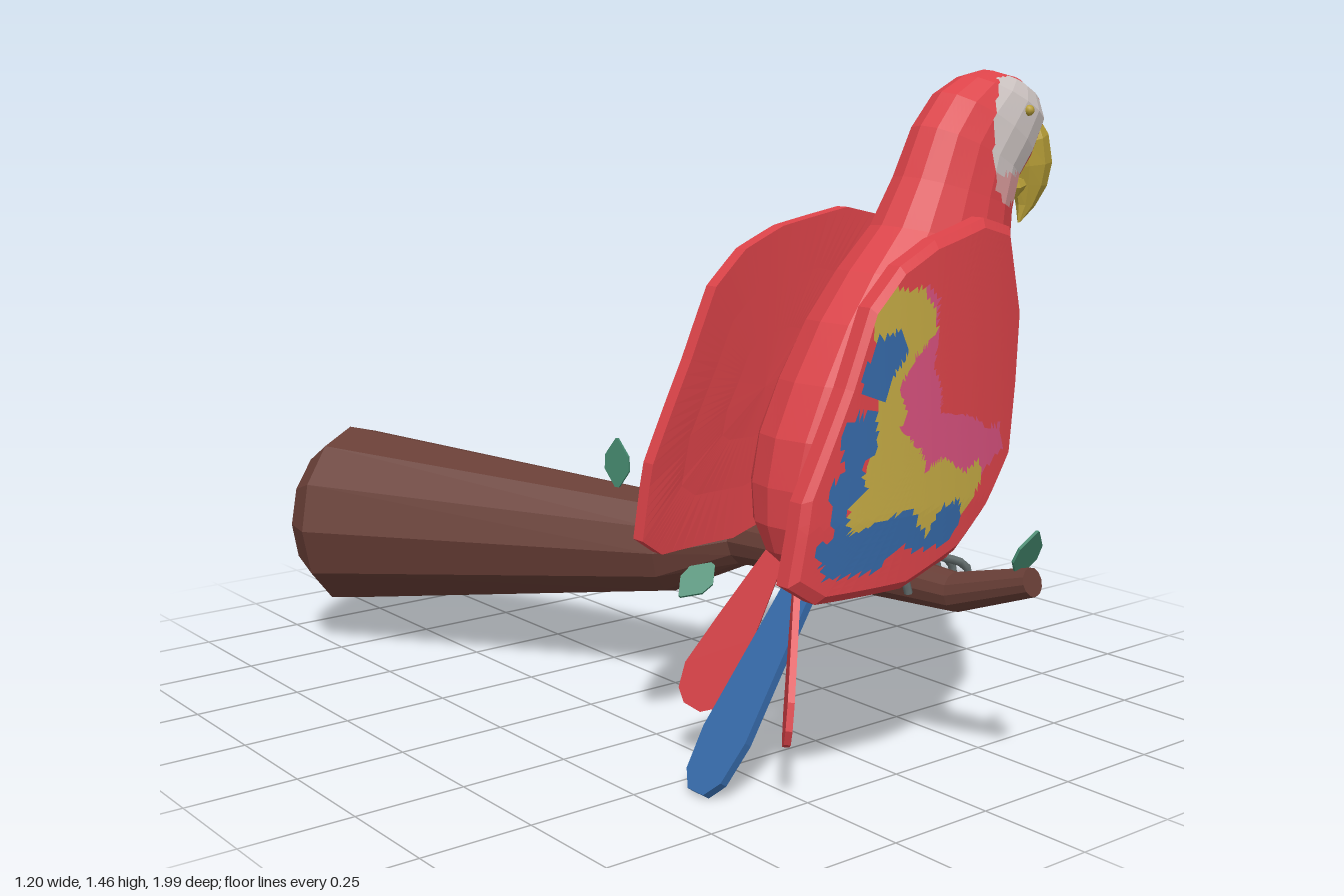
import * as THREE from 'three';

const V = (x, y, z) => new THREE.Vector3(x, y, z);
const mat = (name, color) => {
  const m = new THREE.MeshStandardMaterial({ color });
  m.name = name;
  return m;
};
const ZC = 0.585; // centre plane of the bird

// True when (x, y) lies inside a flat list of polygon corners
function inside(poly, x, y) {
  let hit = false;
  for (let i = 0, j = poly.length - 2; i < poly.length; j = i, i += 2) {
    const [ax, ay, bx, by] = [poly[i], poly[i + 1], poly[j], poly[j + 1]];
    if ((ay > y) !== (by > y) && x < ((bx - ax) * (y - ay)) / (by - ay) + ax) hit = !hit;
  }
  return hit;
}

// Faceted surface closed around u; pick(centre, row) chooses a material index per face
function surface(name, nu, nv, P, mats, flip = false, pick = () => 0) {
  const buckets = mats.map(() => []);
  const add = (a, b, c, row) => {
    const mid = a.clone().add(b).add(c).divideScalar(3);
    const out = buckets[pick(mid, row)];
    for (const p of flip ? [a, c, b] : [a, b, c]) out.push(p.x, p.y, p.z);
  };
  for (let j = 0; j < nv; j++) for (let i = 0; i < nu; i++) {
    const k = (i + 1) % nu;
    const a = P(i, j), b = P(k, j), c = P(k, j + 1), d = P(i, j + 1);
    if (a.distanceTo(b) > 1e-6) add(a, b, d, j);
    if (c.distanceTo(d) > 1e-6) add(b, c, d, j);
  }
  const g = new THREE.BufferGeometry();
  g.setAttribute('position', new THREE.Float32BufferAttribute(buckets.flat(), 3));
  let start = 0;
  buckets.forEach((b, i) => { g.addGroup(start, b.length / 3, i); start += b.length / 3; });
  g.computeVertexNormals();
  const mesh = new THREE.Mesh(g, mats.length > 1 ? mats : mats[0]);
  mesh.name = name;
  return mesh;
}

// Oval loft; each ring is [backX, backY, frontX, frontY, halfWidth]
function loft(name, rings, sides, sub, mats, pick) {
  const pole = ([a, b, c, d]) => [(a + c) / 2, (b + d) / 2, (a + c) / 2, (b + d) / 2, 0];
  const all = [pole(rings[0]), ...rings, pole(rings[rings.length - 1])];
  const corner = (i, j) => {
    const [bx, by, fx, fy, w] = all[j], t = (i / sides) * Math.PI * 2, c = Math.cos(t) / 2;
    return V((bx + fx) / 2 + (fx - bx) * c, (by + fy) / 2 + (fy - by) * c, ZC + w * Math.sin(t));
  };
  const P = (i, j) => {
    const u = Math.floor(i / sub), v = Math.min(Math.floor(j / sub), all.length - 2);
    const fu = i / sub - u, fv = j / sub - v;
    return corner(u, v).lerp(corner(u + 1, v), fu).lerp(corner(u, v + 1).lerp(corner(u + 1, v + 1), fu), fv);
  };
  return surface(name, sides * sub, (all.length - 1) * sub, P, mats, false, pick);
}

// Thin blade from a to b; profile lists [position along, half width]
function blade(name, m, a, b, wide, profile, thick) {
  const d = b.clone().sub(a), L = d.length();
  d.normalize();
  const n = d.clone().cross(wide).normalize(), w = n.clone().cross(d);
  const pts = [...profile.map(([t, h]) => [t * L, h]), ...profile.slice().reverse().map(([t, h]) => [t * L, -h])];
  const shape = new THREE.Shape(pts.map(p => new THREE.Vector2(...p)));
  const g = new THREE.ExtrudeGeometry(shape, { depth: thick, bevelEnabled: false });
  g.translate(0, 0, -thick / 2);
  g.applyMatrix4(new THREE.Matrix4().makeBasis(d, w, n).setPosition(a));
  const mesh = new THREE.Mesh(g, m);
  mesh.name = name;
  return mesh;
}

export function createModel() {
  const root = new THREE.Group();
  root.name = 'parrotOnBranch';
  const red = mat('red', 0xdc4349), white = mat('white', 0xcdc4c2), pale = mat('palePink', 0xd89a9a);
  const pink = mat('pink', 0xd5507c), yellow = mat('featherYellow', 0xc2a843), blue = mat('blue', 0x3568a6);
  const horn = mat('beakYellow', 0xb89f38), brown = mat('bark', 0x693f37);
  const grey = mat('footGrey', 0x667070), green = mat('leafGreen', 0x468a70);

  // Body and head with pale cheeks
  const cheek = [0.385, 1.445, 0.44, 1.45, 0.5, 1.42, 0.55, 1.375, 0.53, 1.33, 0.49, 1.29, 0.45, 1.23,
    0.42, 1.18, 0.36, 1.17, 0.325, 1.21, 0.32, 1.28, 0.335, 1.37];
  root.add(loft('body', [
    [0.46, 1.45, 0.5, 1.43, 0.025], [0.39, 1.462, 0.55, 1.39, 0.055], [0.33, 1.45, 0.56, 1.34, 0.08],
    [0.26, 1.415, 0.52, 1.27, 0.093], [0.2, 1.345, 0.475, 1.22, 0.1], [0.15, 1.24, 0.45, 1.15, 0.11],
    [0.09, 1.14, 0.44, 1.06, 0.125], [0, 1.05, 0.43, 0.98, 0.148], [-0.08, 0.95, 0.4, 0.88, 0.168],
    [-0.15, 0.83, 0.35, 0.78, 0.182], [-0.2, 0.72, 0.28, 0.68, 0.185], [-0.22, 0.62, 0.2, 0.58, 0.175],
    [-0.22, 0.54, 0.1, 0.5, 0.14], [-0.2, 0.48, 0, 0.45, 0.09], [-0.17, 0.45, -0.08, 0.44, 0.04],
  ], 16, 5, [red, white, pale], p => {
    if (Math.abs(p.z - ZC) < 0.035 || !inside(cheek, p.x, p.y)) return 0;
    return p.y < 1.24 ? 2 : 1;
  }));

  // Beak
  root.add(loft('upperBeak', [
    [0.52, 1.36, 0.55, 1.367, 0.025], [0.49, 1.3, 0.585, 1.325, 0.045], [0.495, 1.25, 0.602, 1.26, 0.045],
    [0.505, 1.21, 0.592, 1.205, 0.035], [0.515, 1.165, 0.56, 1.16, 0.02], [0.515, 1.125, 0.525, 1.13, 0.004],
  ], 8, 1, [horn]));
  root.add(loft('lowerBeak', [
    [0.43, 1.17, 0.43, 1.24, 0.04], [0.48, 1.175, 0.48, 1.235, 0.036], [0.515, 1.195, 0.52, 1.225, 0.02],
  ], 8, 1, [horn]));

  // Wings: curved plates whose outer face carries the feather colours
  const outline = [0.27, 1.14, 0.165, 1.165, 0, 1.13, -0.1, 1.085, -0.18, 1.01, -0.245, 0.86, -0.35, 0.65,
    -0.38, 0.49, -0.32, 0.45, -0.11, 0.45, 0.05, 0.5, 0.15, 0.57, 0.25, 0.67, 0.285, 0.82, 0.31, 0.97];
  const bluePatches = [
    [-0.215, 0.88, -0.17, 0.95, -0.11, 0.965, -0.09, 0.92, -0.13, 0.88, -0.16, 0.83, -0.21, 0.84],
    [-0.25, 0.8, -0.18, 0.815, -0.18, 0.74, -0.22, 0.71, -0.21, 0.66, -0.26, 0.63, -0.25, 0.58, -0.17, 0.6,
      -0.1, 0.61, -0.05, 0.55, -0.01, 0.6, 0.05, 0.61, 0.06, 0.57, 0.01, 0.525, -0.06, 0.52, -0.13, 0.54,
      -0.19, 0.5, -0.31, 0.5, -0.33, 0.57, -0.29, 0.58, -0.3, 0.68, -0.26, 0.7, -0.27, 0.76]];
  const yellowPatch = [-0.18, 1, -0.16, 1.04, -0.05, 1.04, -0.01, 1, -0.01, 0.95, -0.07, 0.91, -0.12, 0.85,
    -0.1, 0.8, -0.12, 0.77, -0.06, 0.72, -0.05, 0.68, 0, 0.7, 0.07, 0.66, 0.12, 0.68, 0.13, 0.64, 0.07, 0.58,
    -0.05, 0.55, -0.26, 0.57, -0.25, 0.64, -0.2, 0.72, -0.18, 0.81, -0.14, 0.9, -0.18, 0.95];
  const pinkPatch = [-0.14, 1.03, -0.03, 1.045, 0, 1.02, -0.01, 0.93, -0.02, 0.88, 0, 0.84, 0, 0.79, 0.1, 0.77,
    0.15, 0.74, 0.2, 0.74, 0.21, 0.69, 0.13, 0.65, 0.1, 0.62, -0.1, 0.66, -0.15, 0.78, -0.12, 0.87];
  const rows = 24, sub = 7, corners = outline.length / 2;
  const stages = [...Array.from({ length: rows + 1 }, (_, i) => [0.95 * i / rows, 0]),
    [1, 0.012], [1, 0.045], [0.66, 0.045], [0.33, 0.045], [0, 0.045]];
  for (const s of [1, -1]) {
    const P = (i, j) => {
      const k = Math.floor(i / sub), f = i / sub - k, a = 2 * k, b = 2 * ((k + 1) % corners);
      const [scale, inset] = stages[j];
      const x = -0.03 + scale * (THREE.MathUtils.lerp(outline[a], outline[b], f) + 0.03);
      const y = 0.78 + scale * (THREE.MathUtils.lerp(outline[a + 1], outline[b + 1], f) - 0.78);
      const bow = 0.285 - 0.03 * Math.max(0, (y - 0.6) / 0.55) - 0.06 * ((x + 0.1) / 0.4) ** 2;
      return V(x, y, ZC + s * (bow - inset));
    };
    root.add(surface(s > 0 ? 'wingFront' : 'wingBack', corners * sub, stages.length - 1, P,
      [red, blue, yellow, pink], s > 0, (p, row) => {
        if (row >= rows) return 0;
        if (bluePatches.some(b => inside(b, p.x, p.y))) return 1;
        if (inside(yellowPatch, p.x, p.y)) return 2;
        return inside(pinkPatch, p.x, p.y) ? 3 : 0;
      }));

    // Eye
    const eye = new THREE.Mesh(new THREE.SphereGeometry(0.012, 8, 6), horn);
    eye.name = 'eye';
    eye.position.set(0.445, 1.375, ZC + s * 0.083);
    root.add(eye);

    // Thigh
    const thigh = new THREE.Mesh(new THREE.SphereGeometry(1, 10, 8).toNonIndexed(), red);
    thigh.geometry.scale(0.09, 0.16, 0.045);
    thigh.geometry.rotateX(-s * 0.25);
    thigh.geometry.computeVertexNormals();
    thigh.name = 'thigh';
    thigh.position.set(0.06, 0.61, ZC + s * 0.165);
    root.add(thigh);

    // Foot: toes hooked over the branch
    const foot = new THREE.Group();
    foot.name = 'foot';
    const z = ZC + s * 0.16;
    const toe = pts => foot.add(new THREE.Mesh(
      new THREE.TubeGeometry(new THREE.CatmullRomCurve3(pts), 8, 0.009, 6), grey));
    for (const dz of [-0.045, 0, 0.045]) {
      toe([V(0.03, 0.48, z), V(0.09, 0.465, z + dz * 0.7), V(0.155, 0.435, z + dz), V(0.165, 0.385, z + dz)]);
    }
    toe([V(0.06, 0.5, z), V(0.04, 0.455, z), V(0.02, 0.43, z), V(0.03, 0.39, z)]);
    root.add(foot);

    // Outer tail feather
    root.add(blade('sideTailFeather', red, V(-0.16, 0.48, ZC + s * 0.03), V(-0.295, 0.13, ZC + s * 0.15),
      V(0.54, -0.45, -0.72 * s), [[0, 0.02], [0.5, 0.045], [0.8, 0.058], [0.94, 0.045], [1, 0.02]], 0.014));
  }

  // Middle tail feather
  root.add(blade('middleTailFeather', blue, V(-0.1, 0.43, ZC), V(-0.4, 0.01, ZC), V(0, 0, 1),
    [[0, 0.04], [0.3, 0.05], [0.75, 0.067], [0.93, 0.055], [1, 0.025]], 0.018));

  // Branch: rings of [x, y, z, radius] from thin tip to thick end
  const path = [[0.13, 0.45, 0.99, 0], [0.13, 0.45, 0.99, 0.03], [0.115, 0.39, 0.8, 0.042], [0.1, 0.39, 0.6, 0.052],
    [0.1, 0.393, 0.4, 0.056], [0.1, 0.38, 0.14, 0.067], [0.025, 0.34, -0.04, 0.118],
    [-0.4, 0.325, -0.85, 0.228], [-0.43, 0.325, -0.91, 0.175], [-0.43, 0.325, -0.91, 0]];
  const ringPoint = (i, j) => {
    const [x, y, z, r] = path[j];
    const a = path[Math.max(0, j - 1)], b = path[Math.min(path.length - 1, j + 1)];
    const t = V(b[0] - a[0], b[1] - a[1], b[2] - a[2]).normalize();
    const side = t.clone().cross(V(0, 1, 0)).normalize(), up = side.clone().cross(t);
    const q = (i / 12) * Math.PI * 2;
    return V(x, y, z).addScaledVector(side, r * Math.cos(q)).addScaledVector(up, r * Math.sin(q));
  };
  root.add(surface('branch', 12, path.length - 1, ringPoint, [brown], true));

  // Leaves: [base, tip, width direction]
  const leafShape = [[0, 0.006], [0.35, 0.036], [0.65, 0.034], [1, 0.003]];
  for (const [a, b, w] of [
    [V(0.01, 0.325, 0.13), V(-0.09, 0.265, 0.13), V(0.3, -0.4, 0.8)],
    [V(0.165, 0.43, 0.175), V(0.272, 0.435, 0.2), V(0, 0.5, 0.86)],
    [V(-0.06, 0.47, -0.15), V(-0.06, 0.59, -0.15), V(0.3, 0, 0.95)],
    [V(0.13, 0.455, 0.95), V(0.135, 0.555, 0.995), V(1, 0, 0)],
  ]) root.add(blade('leaf', green, a, b, w, leafShape, 0.006));

  return root;
}
